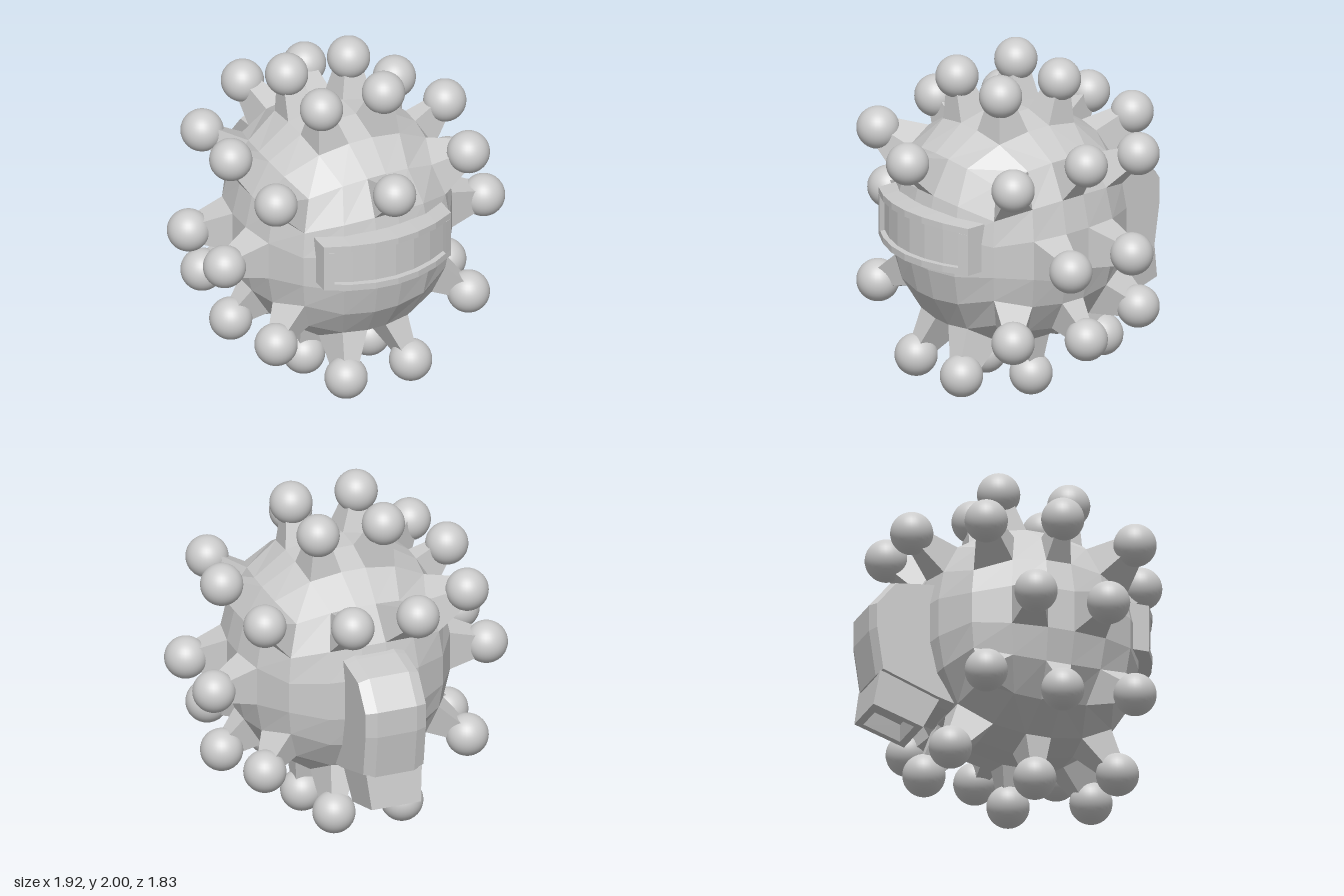
import * as THREE from 'three';

const grey = new THREE.MeshStandardMaterial({ color: 0xcccccc, flatShading: true });
const smooth = new THREE.MeshStandardMaterial({ color: 0xcccccc });

const CENTRE = [0, 1.01, 0.06];
const RADII = [0.64, 0.69, 0.66];
// Grid lines of the rounded cube along each axis
const GRID = [[0.125, 0.46], [0.184, 0.5], [0.125, 0.47]].map(([a, b]) => [-1, -b, -a, a, b, 1]);

// Point of the unit cube -> point on the slightly boxy ellipsoid
function onBody(c) {
  const p = 2.3;
  const n = c.reduce((s, k) => s + Math.abs(k) ** p, 0) ** (1 / p);
  return new THREE.Vector3(...c.map((k, i) => CENTRE[i] + (RADII[i] * k) / n));
}

function mesh(name, geometry, material = grey) {
  const m = new THREE.Mesh(geometry, material);
  m.name = name;
  return m;
}

// Joins rings of points (counter-clockwise seen from the last ring) and caps the end
function loft(rings) {
  const n = rings[0].length;
  const index = [];
  for (let r = 0; r < rings.length - 1; r++) {
    for (let i = 0; i < n; i++) {
      const a = r * n + i, b = r * n + ((i + 1) % n);
      index.push(a, b, b + n, a, b + n, a + n);
    }
  }
  const last = (rings.length - 1) * n;
  for (let i = 1; i < n - 1; i++) index.push(last, last + i, last + i + 1);
  const g = new THREE.BufferGeometry().setFromPoints(rings.flat());
  g.setIndex(index);
  g.computeVertexNormals();
  return g;
}

function bodyGeometry() {
  const g = new THREE.BoxGeometry(2, 2, 2, 5, 5, 5);
  const pos = g.attributes.position;
  for (let i = 0; i < pos.count; i++) {
    const c = [pos.getX(i), pos.getY(i), pos.getZ(i)].map((k, ax) => GRID[ax][Math.round((k + 1) * 2.5)]);
    const v = onBody(c);
    pos.setXYZ(i, v.x, v.y, v.z);
  }
  g.computeVertexNormals();
  return g;
}

// Stalk drawn out of the body facet that lies below a ball
function stalkGeometry(ball) {
  const d = ball.toArray().map((k, i) => (k - CENTRE[i]) / RADII[i]);
  const size = d.map(Math.abs);
  const a = size.indexOf(Math.max(...size));
  const u = (a + 1) % 3, v = (a + 2) % 3, sign = Math.sign(d[a]);
  const cell = (ax) => {
    const i = GRID[ax].findIndex((g) => g > d[ax] / size[a]);
    return [GRID[ax][i - 1], GRID[ax][i]];
  };
  const [cu, cv] = [cell(u), cell(v)];
  const base = [[0, 0], [1, 0], [1, 1], [0, 1]].map(([i, j]) => {
    const c = [0, 0, 0];
    c[a] = sign; c[u] = cu[i]; c[v] = cv[j];
    return onBody(c);
  });
  if (sign < 0) base.reverse();
  const mid = base.reduce((s, p) => s.add(p), new THREE.Vector3()).multiplyScalar(0.25);
  const tip = base.map((p) => p.clone().sub(mid).multiplyScalar(0.45).add(ball));
  return loft([base, tip]);
}

// Box bent around the front of the body
function visorPart(name, x0, x1, y0, y1, recess = 0) {
  const depth = 0.13 - recess;
  const g = new THREE.BoxGeometry(x1 - x0, y1 - y0, depth, x1 - x0 > 0.2 ? 6 : 1, 1, 1);
  g.translate((x0 + x1) / 2, (y0 + y1) / 2, -recess - depth / 2);
  const pos = g.attributes.position;
  for (let i = 0; i < pos.count; i++) {
    const t = (pos.getX(i) / 0.4) ** 2;
    if (pos.getY(i) > 1.1) pos.setY(i, pos.getY(i) + 0.02 * (1 - t));
    pos.setZ(i, pos.getZ(i) + 0.82 - 0.13 * t);
  }
  g.computeVertexNormals();
  return mesh(name, g);
}

function backpack() {
  const pack = new THREE.Group();
  pack.name = 'backpack';
  // Side profile as distance behind the middle, height
  const profile = [[0.4, 0.5], [0.53, 0.53], [0.67, 0.58], [0.88, 0.655], [0.92, 0.93], [0.92, 1.09], [0.79, 1.25], [0.59, 1.275], [0.4, 1.29]];
  const shape = new THREE.Shape(profile.map((p) => new THREE.Vector2(...p)));
  const g = new THREE.ExtrudeGeometry(shape, {
    depth: 0.24, bevelEnabled: true, bevelSegments: 1, bevelThickness: 0.065, bevelSize: 0.025, bevelOffset: -0.025,
  });
  g.translate(0, 0, -0.12).rotateY(Math.PI / 2);
  pack.add(mesh('packShell', g));

  // Hollow nozzle opening downwards
  const ring = (w, zBack, yBack, zFront, yFront) => [
    new THREE.Vector3(-w, yBack, zBack), new THREE.Vector3(w, yBack, zBack),
    new THREE.Vector3(w, yFront, zFront), new THREE.Vector3(-w, yFront, zFront),
  ];
  pack.add(mesh('packNozzle', loft([
    ring(0.17, -0.87, 0.67, -0.5, 0.56),
    ring(0.15, -0.905, 0.46, -0.6, 0.365),
    ring(0.11, -0.865, 0.448, -0.64, 0.377),
    ring(0.08, -0.83, 0.53, -0.65, 0.47),
  ])));
  return pack;
}

export function createModel() {
  const model = new THREE.Group();
  model.name = 'spikedBall';
  model.add(mesh('body', bodyGeometry()));

  // Ball positions: middle x, half spacing, y, z
  const balls = [
    [-0.01, 0.2, 1.877, 0.27], [-0.01, 0.2, 1.877, -0.16],
    [0, 0.835, 1, 0.27], [0, 0.835, 1, -0.175],
    [-0.01, 0, 1.53, 0.79], [-0.015, 0.2, 1.54, -0.695],
    [-0.01, 0.62, 1.49, 0.513], [-0.01, 0.62, 1.49, -0.4],
    [0.01, 0.69, 1.555, 0.05], [0.01, 0.69, 0.485, 0.05],
    [-0.01, 0.62, 0.55, 0.513], [-0.01, 0.62, 0.55, -0.4],
    [0, 0.208, 0.238, 0.57], [0, 0.208, 0.238, -0.455],
    [-0.005, 0.21, 0.126, 0.06],
  ];
  const ballGeometry = new THREE.SphereGeometry(0.124, 32, 20);
  for (const [mx, half, y, z] of balls) {
    for (const side of half ? [-1, 1] : [1]) {
      const at = new THREE.Vector3(mx + side * half, y, z);
      const ball = mesh('ball', ballGeometry, smooth);
      ball.position.copy(at);
      const spike = new THREE.Group();
      spike.name = 'spike';
      spike.add(mesh('stalk', stalkGeometry(at)), ball);
      model.add(spike);
    }
  }

  // Curved visor with a raised frame
  const visor = new THREE.Group();
  visor.name = 'visor';
  visor.add(
    visorPart('frameTop', -0.41, 0.41, 1.195, 1.235),
    visorPart('frameBottom', -0.41, 0.41, 0.945, 0.985),
    visorPart('frameRight', -0.41, -0.36, 0.985, 1.195),
    visorPart('frameLeft', 0.36, 0.41, 0.985, 1.195),
    visorPart('panel', -0.37, 0.37, 0.975, 1.205, 0.035),
  );
  model.add(visor, backpack());
  return model;
}
